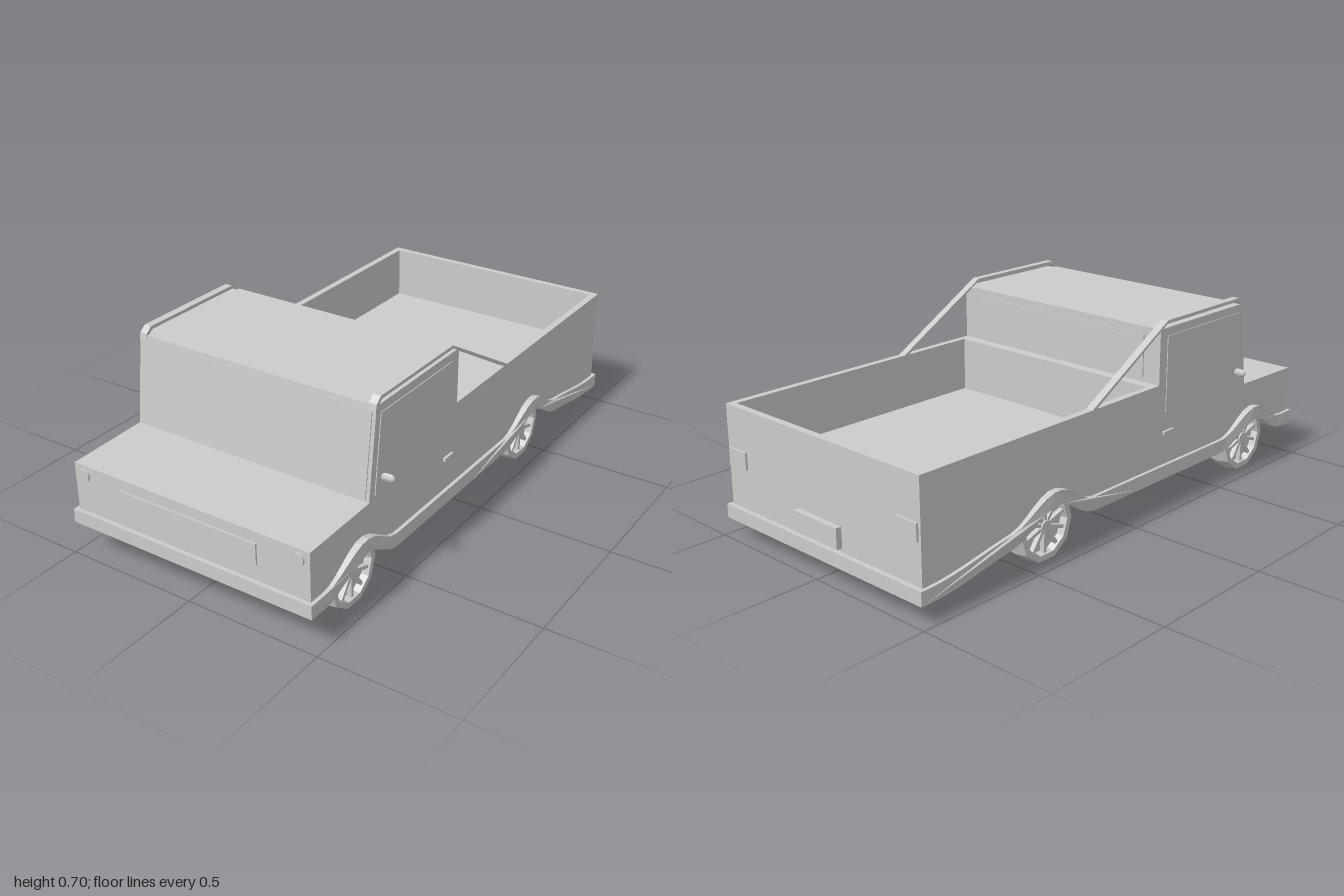
import * as THREE from 'three';

const grey = new THREE.MeshStandardMaterial({ color: 0xcccccc, flatShading: true });
const AXLES = [0.725, -0.405];

export function createModel() {
  const truck = new THREE.Group();
  truck.name = 'pickupTruck';

  const add = (name, geometry, parent = truck) => {
    const mesh = new THREE.Mesh(geometry, grey);
    mesh.name = name;
    parent.add(mesh);
    return mesh;
  };
  const box = (name, x0, x1, y0, y1, z0, z1) => {
    const g = new THREE.BoxGeometry(x1 - x0, y1 - y0, z1 - z0);
    g.translate((x0 + x1) / 2, (y0 + y1) / 2, (z0 + z1) / 2);
    return add(name, g);
  };
  // Side profile of [z, y] points extruded across x0..x1
  const slab = (points, x0, x1) => {
    const shape = new THREE.Shape(points.map(([z, y]) => new THREE.Vector2(z, y)));
    const g = new THREE.ExtrudeGeometry(shape, { depth: x1 - x0, bevelEnabled: false });
    return g.rotateY(-Math.PI / 2).translate(x1, 0, 0);
  };
  // Same slab on both sides of the truck
  const pair = (name, points, x0, x1, edit = (g) => g) => {
    add(name + 'Left', edit(slab(points, x0, x1)));
    add(name + 'Right', edit(slab(points, -x1, -x0)));
  };

  // Lower edge rules: arches over the wheels and a drop towards the tail
  const arch = (z) => AXLES.reduce((sum, c) => {
    const d = Math.abs(z - c) / 0.2;
    return sum + (d < 1 ? 0.5 + 0.5 * Math.cos(Math.PI * d) : 0);
  }, 0);
  const drop = (z) => 0.058 * THREE.MathUtils.smoothstep(-z, 0.5, 0.97);
  const low = (z, a) => 0.13 - drop(z) + 0.085 * a * arch(z);
  const high = (z, a) => 0.18 - drop(z) + 0.085 * a * arch(z);
  const edge = (fn, a, from, to, n = 56) => Array.from({ length: n + 1 }, (_, i) => {
    const z = from + (to - from) * i / n;
    return [z, fn(z, a)];
  });
  const band = (a) => [...edge(low, a, -0.992, 1), ...edge(high, a, 1, -0.992)];

  // Wavy skirt with flared arches, and the flat floor between the wheel wells
  const flare = (g) => {
    const p = g.attributes.position;
    for (let i = 0; i < p.count; i++) {
      const x = p.getX(i);
      if (Math.abs(x) > 0.48) p.setX(i, x + Math.sign(x) * 0.013 * arch(p.getZ(i)));
    }
    g.computeVertexNormals();
    return g;
  };
  pair('skirt', band(1), 0.34, 0.483, flare);
  add('floor', slab(band(0), -0.34, 0.34));
  box('wellWalls', -0.34, 0.34, 0.15, 0.27, -0.95, 0.96);

  // Body side panels, cab block, nose, load bed and tailgate
  const upper = [[0.985, 0.355], [0.675, 0.362], [0.635, 0.68], [0.145, 0.68], [0.145, 0.48]];
  pair('sidePanel', [...edge((z) => high(z, 1) - 0.01, 1, -0.975, 0.985), ...upper, [-0.975, 0.48]], 0.445, 0.47);
  add('cab', slab([[0.105, 0.26], [0.985, 0.26], ...upper, [0.105, 0.48]], -0.445, 0.445));
  box('nose', -0.445, 0.445, 0.16, 0.27, 0.955, 0.985);
  box('bedFloor', -0.445, 0.445, 0.26, 0.28, -0.95, 0.105);
  box('tailgate', -0.445, 0.445, 0.1, 0.48, -0.975, -0.95);

  // Glass
  const screen = add('windscreen', new THREE.BoxGeometry(0.914, 0.297, 0.008));
  screen.position.set(0, 0.518, 0.6553);
  screen.rotation.x = -Math.atan(0.04 / 0.318);
  pair('sideWindow', [[0.185, 0.375], [0.645, 0.375], [0.612, 0.65], [0.185, 0.65]], 0.465, 0.473);
  box('rearWindow', -0.4, 0.4, 0.5, 0.65, 0.141, 0.15);

  // Roof rails running down to the bed sides
  pair('roofRail', [
    [0.64, 0.66], [0.635, 0.685], [0.612, 0.705], [0.185, 0.705], [-0.21, 0.48],
    [-0.188, 0.48], [0.18, 0.693], [0.606, 0.693], [0.622, 0.68], [0.622, 0.66],
  ], 0.442, 0.47);

  // Front and rear fittings
  box('grille', -0.273, 0.273, 0.24, 0.315, 0.98, 0.991);
  box('rearPlate', -0.105, 0.105, 0.137, 0.21, -0.996, -0.97);
  for (const s of [1, -1]) {
    const lamp = add('headlight', new THREE.CylinderGeometry(0.023, 0.023, 0.016, 20).rotateX(Math.PI / 2));
    lamp.position.set(s * 0.428, 0.32, 0.985);
    const tail = add('tailLight', new THREE.BoxGeometry(0.09, 0.06, 0.014));
    tail.position.set(s * 0.415, 0.3, -0.976);
    const handle = add('doorHandle', new THREE.BoxGeometry(0.012, 0.012, 0.055));
    handle.position.set(s * 0.474, 0.3, 0.2);
    const arm = add('mirrorArm', new THREE.BoxGeometry(0.02, 0.012, 0.012));
    arm.position.set(s * 0.476, 0.427, 0.607);
    const mirror = add('mirror', new THREE.CapsuleGeometry(0.014, 0.02, 3, 8).rotateZ(Math.PI / 2));
    mirror.scale.z = 0.7;
    mirror.position.set(s * 0.495, 0.427, 0.605);
  }

  // Ten-sided wheels with a dished, spoked outer face
  const tyre = [[0, -0.045], [0.121, -0.045], [0.128, 0], [0.121, 0.045], [0.1, 0.045], [0.094, 0.02], [0, 0.02]]
    .map(([r, h]) => new THREE.Vector2(r, h));
  for (const z of AXLES) {
    const axle = add('axle', new THREE.CylinderGeometry(0.007, 0.007, 0.74, 8).rotateZ(Math.PI / 2));
    axle.position.set(0, 0.125, z);
    for (const s of [1, -1]) {
      const wheel = new THREE.Group();
      wheel.name = 'wheel';
      add('tyre', new THREE.LatheGeometry(tyre, 10).rotateZ(-Math.PI / 2), wheel);
      add('hub', new THREE.CylinderGeometry(0.022, 0.026, 0.026, 10).rotateZ(-Math.PI / 2), wheel).position.x = 0.03;
      for (let i = 0; i < 10; i++) {
        const spoke = new THREE.BoxGeometry(0.02, 0.08, 0.012).translate(0.028, 0.058, 0);
        add('spoke', spoke.rotateX((i / 10) * Math.PI * 2), wheel);
      }
      wheel.position.set(s * 0.403, 0.125, z);
      if (s < 0) wheel.rotation.y = Math.PI;
      truck.add(wheel);
    }
  }
  return truck;
}
